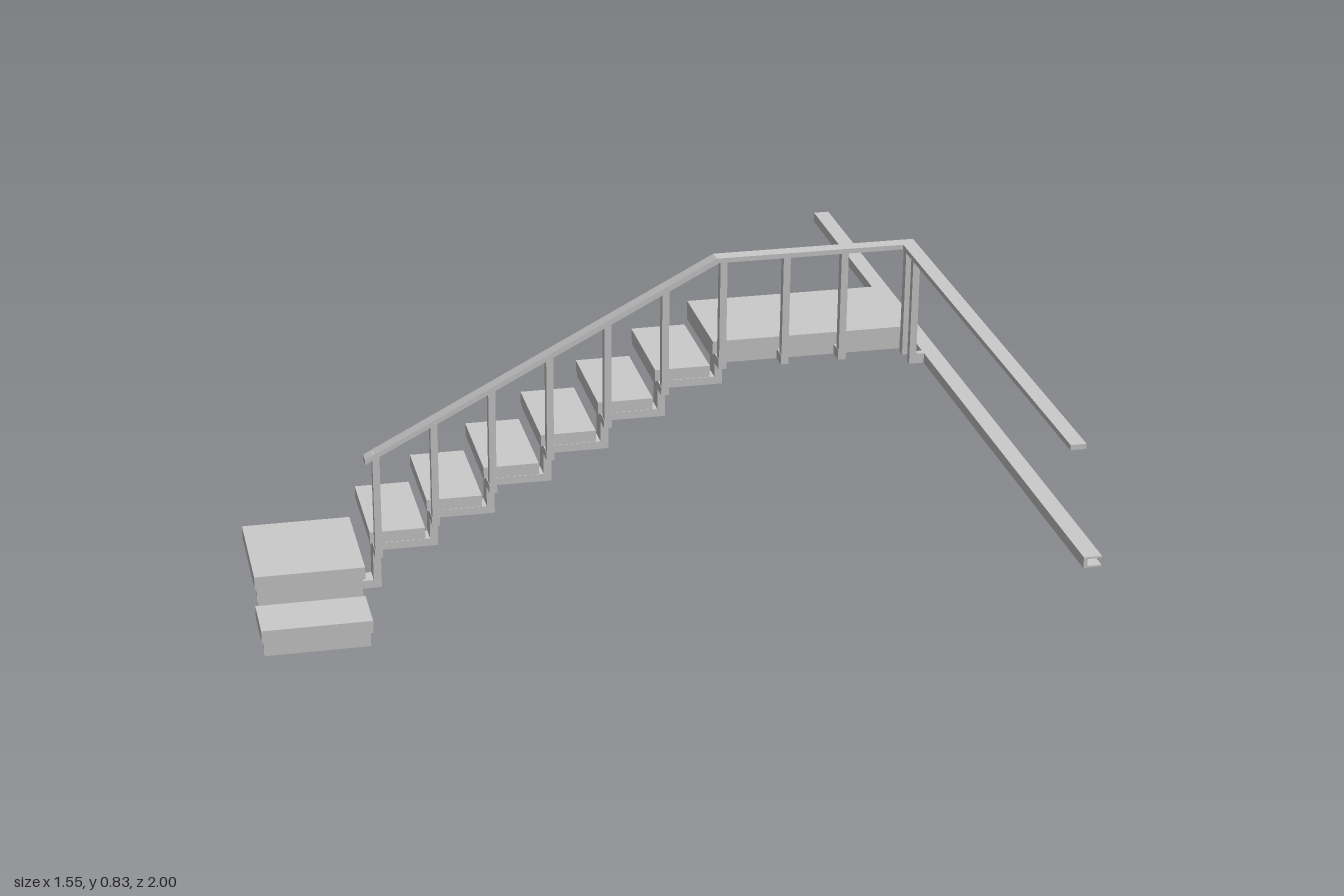
import * as THREE from 'three';

const material = new THREE.MeshStandardMaterial({ color: 0xcccccc, side: THREE.DoubleSide, flatShading: true });

// Box given by its lower and upper limits on each axis
function box(parent, name, x0, x1, y0, y1, z0, z1) {
  const mesh = new THREE.Mesh(new THREE.BoxGeometry(x1 - x0, y1 - y0, z1 - z0), material);
  mesh.position.set((x0 + x1) / 2, (y0 + y1) / 2, (z0 + z1) / 2);
  mesh.name = name;
  parent.add(mesh);
  return mesh;
}

// Tread folded from sheet: flat top with a rim turned down, open below
function pan(parent, name, x0, x1, y0, y1, z0, z1) {
  const g = new THREE.Group();
  const t = 0.005;
  g.name = name;
  box(g, 'panTop', x0, x1, y1 - t, y1, z0, z1);
  box(g, 'rimRight', x0, x0 + t, y0, y1 - t, z0, z1);
  box(g, 'rimLeft', x1 - t, x1, y0, y1 - t, z0, z1);
  box(g, 'rimBack', x0 + t, x1 - t, y0, y1 - t, z0, z0 + t);
  box(g, 'rimFront', x0 + t, x1 - t, y0, y1 - t, z1 - t, z1);
  parent.add(g);
}

// Prism: outline drawn in the x-y plane, running from z0 to z1
function prism(parent, name, points, z0, z1) {
  const shape = new THREE.Shape(points.map(([x, y]) => new THREE.Vector2(x, y)));
  const geo = new THREE.ExtrudeGeometry(shape, { depth: z1 - z0, bevelEnabled: false });
  geo.translate(0, 0, z0);
  const mesh = new THREE.Mesh(geo, material);
  mesh.name = name;
  parent.add(mesh);
  return mesh;
}

export function createModel() {
  const model = new THREE.Group();
  model.name = 'staircase';

  const steps = 6, run = 0.131, rise = 0.068;
  const zBack = -0.405, zFront = -0.152; // tread depth
  const barX = i => -0.5 + run * i;      // baluster and crossbar line
  const barY = i => 0.175 + rise * i;    // underside of crossbars
  const railY = x => Math.min(0.825, 0.418 + (x + 0.525) * 0.512);

  // Two starting steps, open at the back and at the wall side
  const base = new THREE.Group();
  base.name = 'startingSteps';
  model.add(base);
  pan(base, 'upperStartTread', -0.78, -0.53, 0.115, 0.145, zBack, -0.135);
  pan(base, 'lowerStartTread', -0.78, -0.53, 0.038, 0.068, -0.145, -0.02);
  box(base, 'lowerRiser', -0.775, -0.535, 0, 0.038, -0.035, -0.03);
  box(base, 'upperRiser', -0.775, -0.535, 0.038, 0.115, -0.15, -0.145);
  box(base, 'sidePanelUpper', -0.54, -0.535, 0, 0.115, zBack + 0.003, -0.145);
  box(base, 'sidePanelLower', -0.54, -0.535, 0, 0.038, -0.145, -0.03);

  // Treads with their crossbars
  for (let i = 0; i < steps; i++) {
    const x = -0.515 + run * i, y = barY(i) + 0.02;
    pan(model, 'tread', x, x + 0.126, y, y + 0.027, zBack, zFront);
    box(model, 'crossbar', barX(i) - 0.009, barX(i) + 0.009, barY(i), y, -0.424, -0.115);
  }

  // Zigzag stringer of square tube
  const sz0 = -0.195, sz1 = -0.153;
  box(model, 'stringerFoot', -0.54, barX(0) + 0.009, 0.083, 0.102, sz0, sz1);
  box(model, 'stringerRiser', barX(0) - 0.009, barX(0) + 0.009, 0.102, barY(0), sz0, sz1);
  for (let i = 0; i < steps; i++) {
    const end = barX(i + 1) + 0.009, y = barY(i);
    const top = i === steps - 1 ? 0.567 : barY(i + 1);
    box(model, 'stringerRun', barX(i) - 0.007, end, y + 0.001, y + 0.019, sz0, sz1);
    box(model, 'stringerRiser', end - 0.018, end, y + 0.019, top, sz0, sz1);
  }

  // Landing
  const ly0 = 0.567, ly1 = 0.59;
  pan(model, 'landing', 0.272, 0.737, ly1, 0.62, zBack, zFront);
  box(model, 'landingBeam', 0.277, 0.737, ly0, ly1, sz0, sz1);
  for (const x of [barX(6), 0.718]) box(model, 'landingCrossbar', x - 0.009, x + 0.009, ly0, ly1, -0.424, -0.115);
  for (const x of [0.43, 0.563]) box(model, 'balusterBracket', x - 0.009, x + 0.009, ly0, ly1, sz1, -0.115);

  // Balusters
  const posts = [];
  for (let i = 0; i <= steps; i++) posts.push([barX(i), i < steps ? barY(i) : ly0]);
  for (const x of [0.43, 0.563, 0.712]) posts.push([x, ly0]);
  for (const [x, y] of posts) box(model, 'baluster', x - 0.008, x + 0.008, y, railY(x), -0.135, -0.115);
  box(model, 'cornerBaluster', 0.704, 0.72, ly0, 0.825, -0.076, -0.06);
  box(model, 'cornerBracket', 0.72, 0.745, ly0, ly1, -0.076, -0.06);

  // Handrail: sloped and level run, then the return along the gallery
  prism(model, 'handrail', [
    [-0.525, 0.408], [0.274, 0.823], [0.727, 0.823], [0.727, 0.834], [0.268, 0.834], [-0.525, 0.42],
  ], -0.143, -0.111);
  box(model, 'galleryHandrail', 0.695, 0.727, 0.823, 0.834, -0.111, 1);

  // Gallery edge beam: channel open to the left
  prism(model, 'galleryBeam', [
    [0.738, ly0], [0.775, ly0], [0.775, ly0 + 0.004], [0.746, ly0 + 0.004],
    [0.746, ly1 - 0.004], [0.775, ly1 - 0.004], [0.775, ly1], [0.738, ly1],
  ], -1, 1);

  return model;
}
